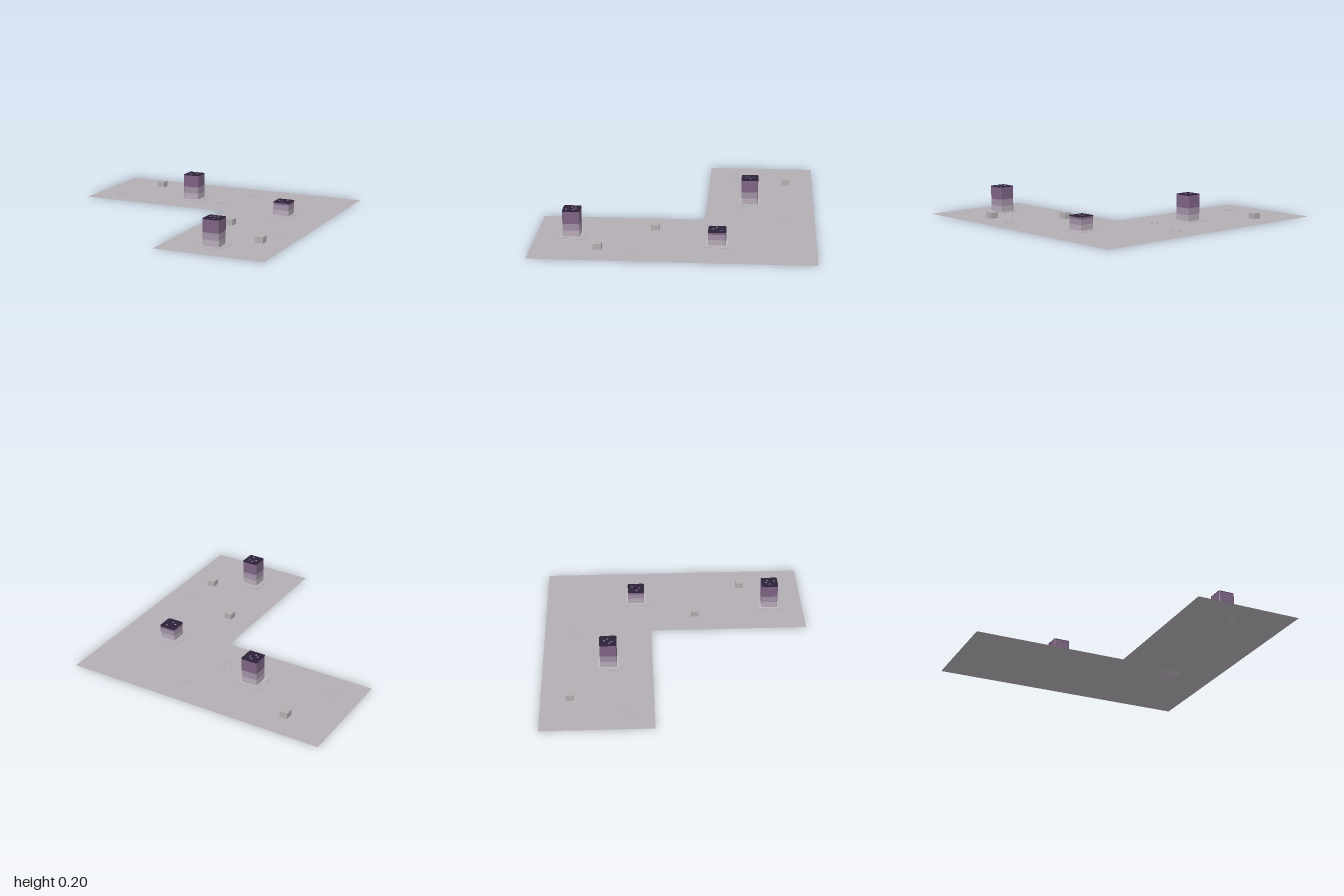
import * as THREE from 'three';

const mat = (name, color, side = THREE.FrontSide) => {
  const m = new THREE.MeshStandardMaterial({ color, side });
  m.name = name;
  return m;
};

export function createModel() {
  const root = new THREE.Group();
  const floorMat = mat('floor grey', 0xb3adb4, THREE.DoubleSide);
  const haloMat = mat('pale halo', 0xbdb8be);
  const stoneMat = mat('stone grey', 0xb2aeb0);
  const paleMat = mat('pale mauve', 0xb6aab8);
  const midMat = mat('mid mauve', 0xa090a5);
  const purpleMat = mat('purple', 0x7e6383);
  const darkMat = mat('dark purple', 0x2c2138);
  const fleckMat = mat('fleck grey', 0x8c8496);

  const add = (parent, name, geo, material, x = 0, y = 0, z = 0) => {
    const mesh = new THREE.Mesh(geo, material);
    mesh.name = name;
    mesh.position.set(x, y, z);
    parent.add(mesh);
    return mesh;
  };

  // Upright slab with rounded corners, standing on y = 0
  const slab = (size, height, r) => {
    const h = size / 2, s = new THREE.Shape();
    s.moveTo(-h + r, -h).lineTo(h - r, -h).quadraticCurveTo(h, -h, h, -h + r);
    s.lineTo(h, h - r).quadraticCurveTo(h, h, h - r, h);
    s.lineTo(-h + r, h).quadraticCurveTo(-h, h, -h, h - r);
    s.lineTo(-h, -h + r).quadraticCurveTo(-h, -h, -h + r, -h);
    return new THREE.ExtrudeGeometry(s, { depth: height, bevelEnabled: false, curveSegments: 3 }).rotateX(-Math.PI / 2);
  };

  // L-shaped floor
  const outline = new THREE.Shape([[-1, 1], [-1, 0.19], [0.185, 0.19], [0.185, -1], [1, -1], [1, 1]]
    .map(([x, y]) => new THREE.Vector2(x, y)));
  add(root, 'floor', new THREE.ShapeGeometry(outline).rotateX(-Math.PI / 2), floorMat);

  // Pillars: stacked colour bands, dark cap and flecks
  const tall = [[0, 0.05, paleMat], [0.05, 0.1, midMat], [0.1, 0.192, purpleMat]];
  const short = [[0, 0.045, paleMat], [0.045, 0.085, midMat], [0.085, 0.099, purpleMat]];
  const pillars = [
    [-0.215, -0.515, tall, [[0, -0.027], [0.022, -0.005], [-0.032, 0.01], [-0.01, 0.027]]],
    [0.628, -0.3, short, [[0.02, -0.03], [-0.032, 0.005], [0, 0.027]]],
    [0.528, 0.743, tall, [[-0.005, -0.027], [0.025, -0.016], [-0.027, 0], [0.016, 0.037]]],
  ];
  for (const [x, z, bands, flecks] of pillars) {
    const pillar = new THREE.Group();
    pillar.name = 'pillar';
    pillar.position.set(x, 0, z);
    add(pillar, 'outerBase', slab(0.2, 0.002, 0.02), floorMat);
    add(pillar, 'innerBase', slab(0.15, 0.004, 0.015), haloMat);
    for (const [y0, y1, m] of bands) add(pillar, 'band', slab(0.125, y1 - y0, 0.012), m, 0, y0, 0);
    const top = bands[bands.length - 1][1];
    add(pillar, 'cap', slab(0.127, 0.004, 0.014), darkMat, 0, top, 0);
    for (const [fx, fz] of flecks)
      add(pillar, 'capFleck', new THREE.BoxGeometry(0.013, 0.002, 0.013), fleckMat, fx, top + 0.0045, fz);
    root.add(pillar);
  }

  // Small stones
  for (const [x, z] of [[-0.635, -0.79], [0.393, 0.155], [0.785, 0.53]])
    add(root, 'stone', new THREE.BoxGeometry(0.06, 0.044, 0.06), stoneMat, x, 0.022, z);

  // Clusters of tiny floor chips
  const chips = [[-0.04, 0.01], [0, -0.03], [0.035, -0.015], [0.01, 0.03], [-0.02, 0.045]];
  for (const [x, z] of [[-0.79, -0.39], [0.06, -0.45], [0.185, -0.795], [0.84, 0.27]])
    for (const [dx, dz] of chips)
      add(root, 'floorChip', new THREE.BoxGeometry(0.013, 0.003, 0.013), floorMat, x + dx, 0.0015, z + dz);

  return root;
}
